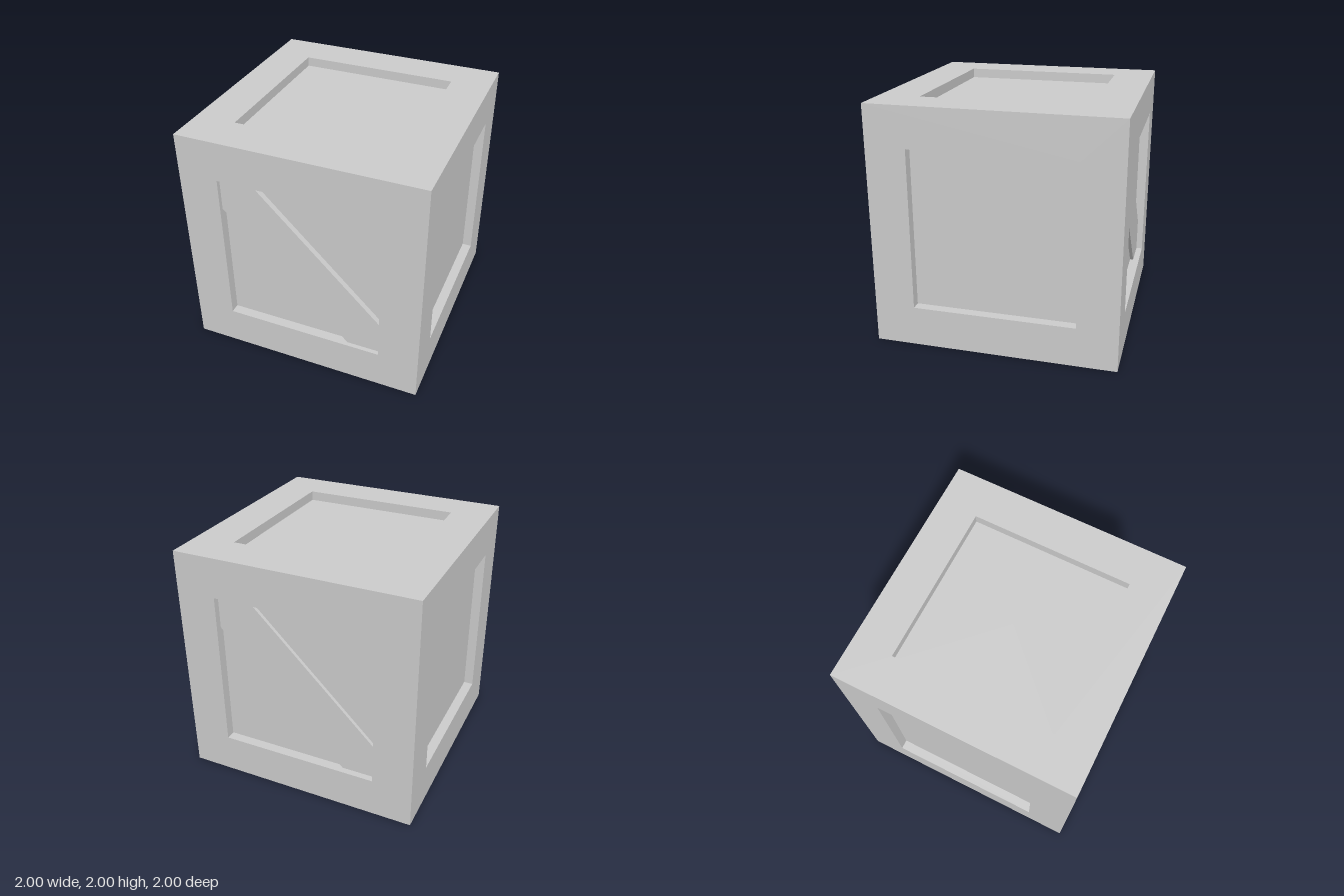
import * as THREE from 'three';

const HALF = 1;        // half the crate's edge
const OPEN = 0.667;    // half the recessed opening
const DEPTH = 0.08;    // recess depth
const BRACE = 0.28;    // offset of the brace's edges along x and y

const material = new THREE.MeshStandardMaterial({ color: 0xcccccc, flatShading: true });

// One crate side facing +y: flat border, recess walls and sunken panel,
// swept as a four-sided lathe from the outer edge to the centre.
function sideGeometry() {
  const k = Math.SQRT2;
  const profile = [
    [HALF * k, HALF],
    [OPEN * k, HALF],
    [OPEN * k, HALF - DEPTH],
    [0, HALF - DEPTH],
  ].map(([r, y]) => new THREE.Vector2(r, y));
  const geometry = new THREE.LatheGeometry(profile, 4, Math.PI / 4).toNonIndexed();
  geometry.computeVertexNormals();
  return geometry;
}

// Diagonal plank from upper left to lower right, trimmed to the opening.
function braceGeometry(thickness) {
  const a = OPEN, b = OPEN - BRACE;
  const outline = [[-a, b], [-a, a], [-b, a], [a, -b], [a, -a], [b, -a]];
  const shape = new THREE.Shape(outline.map(([x, y]) => new THREE.Vector2(x, y)).reverse());
  return new THREE.ExtrudeGeometry(shape, { depth: thickness, bevelEnabled: false })
    .translate(0, 0, HALF - DEPTH);
}

export function createModel() {
  const crate = new THREE.Group();
  crate.name = 'crate';

  // Six identical framed sides
  const side = sideGeometry();
  const q = Math.PI / 2;
  const sides = {
    topSide: [0, 0, 0],
    bottomSide: [Math.PI, 0, 0],
    frontSide: [q, 0, 0],
    backSide: [-q, 0, 0],
    leftSide: [0, 0, -q],
    rightSide: [0, 0, q],
  };
  for (const [name, rotation] of Object.entries(sides)) {
    const mesh = new THREE.Mesh(side, material);
    mesh.name = name;
    mesh.rotation.set(...rotation);
    mesh.position.y = HALF;
    crate.add(mesh);
  }

  // Diagonal braces on front and back, the back one thinner
  for (const [name, thickness, turn] of [['frontBrace', 0.045, 0], ['backBrace', 0.028, Math.PI]]) {
    const brace = new THREE.Mesh(braceGeometry(thickness), material);
    brace.name = name;
    brace.rotation.y = turn;
    brace.position.y = HALF;
    crate.add(brace);
  }

  return crate;
}
